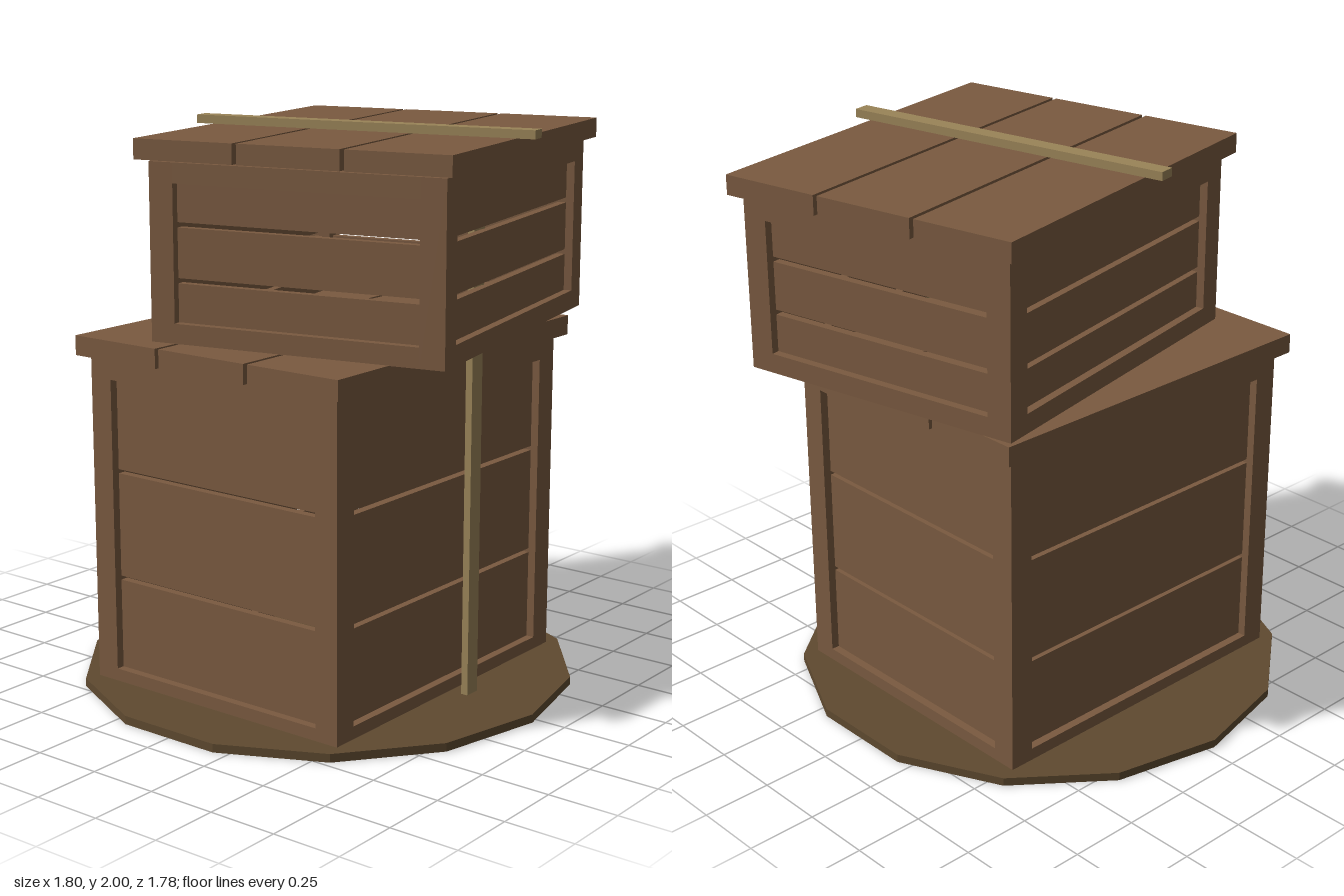
import * as THREE from 'three';

const mat = (color) => new THREE.MeshStandardMaterial({ color, flatShading: true });
const wood = mat(0x7a5a40);
const strapWood = mat(0x9a8458);
const earth = mat(0x5f4a30);

function box(parent, name, size, pos, material = wood) {
  const mesh = new THREE.Mesh(new THREE.BoxGeometry(...size), material);
  mesh.name = name;
  mesh.position.set(...pos);
  parent.add(mesh);
  return mesh;
}

// Slatted crate standing on its local y = 0, with a planked lid on top
function crate(name, height, pitch, gap) {
  const g = new THREE.Group();
  g.name = name;
  const W = 1.28, D = 1.08, post = 0.09, rail = 0.07, recess = 0.03, thick = 0.03;

  for (const sx of [-1, 1]) for (const sz of [-1, 1]) {
    box(g, 'cornerPost', [post, height, post],
      [sx * (W - post) / 2, height / 2, sz * (D - post) / 2]);
  }
  for (const s of [-1, 1]) {
    // Top and bottom rails
    for (const y of [rail / 2, height - rail / 2]) {
      box(g, 'longRail', [W - 2 * post, rail, post], [0, y, s * (D - post) / 2]);
      box(g, 'sideRail', [post, rail, D - 2 * post], [s * (W - post) / 2, y, 0]);
    }
    // Recessed boards with open gaps between them
    for (let i = -1; i <= 1; i++) {
      const y = height / 2 + i * pitch, h = pitch - gap;
      box(g, 'longBoard', [W - 2 * post, h, thick], [0, y, s * (D / 2 - recess - thick / 2)]);
      box(g, 'sideBoard', [thick, h, D - 2 * post], [s * (W / 2 - recess - thick / 2), y, 0]);
    }
  }
  // Lid planks
  for (let i = -1; i <= 1; i++) {
    box(g, 'lidPlank', [1.36, 0.07, 0.372], [0, height + 0.043, i * 0.388]);
  }
  return g;
}

export function createModel() {
  const model = new THREE.Group();
  model.name = 'stackedCrates';

  // Fourteen-sided ground disc
  const base = new THREE.Mesh(new THREE.CylinderGeometry(0.89, 0.89, 0.03, 14), earth);
  base.name = 'groundDisc';
  base.position.set(-0.03, 0.015, 0);
  model.add(base);

  const lower = crate('lowerCrate', 1.195, 0.39, 0.015);
  lower.position.set(-0.03, 0.005, 0);
  model.add(lower);

  // Upper crate, turned and shifted
  const upper = crate('upperCrate', 0.615, 0.19, 0.018);
  upper.position.set(0.113, 1.277, 0.103);
  upper.rotation.y = 0.21;
  box(upper, 'lidStrap', [0.06, 0.03, 1.28], [-0.105, 0.708, 0], strapWood);
  model.add(upper);

  // Upright strap in front of the lower crate, running up into the upper one
  box(model, 'uprightStrap', [0.06, 1.87, 0.026], [0.007, 0.94, 0.602], strapWood);

  return model;
}
